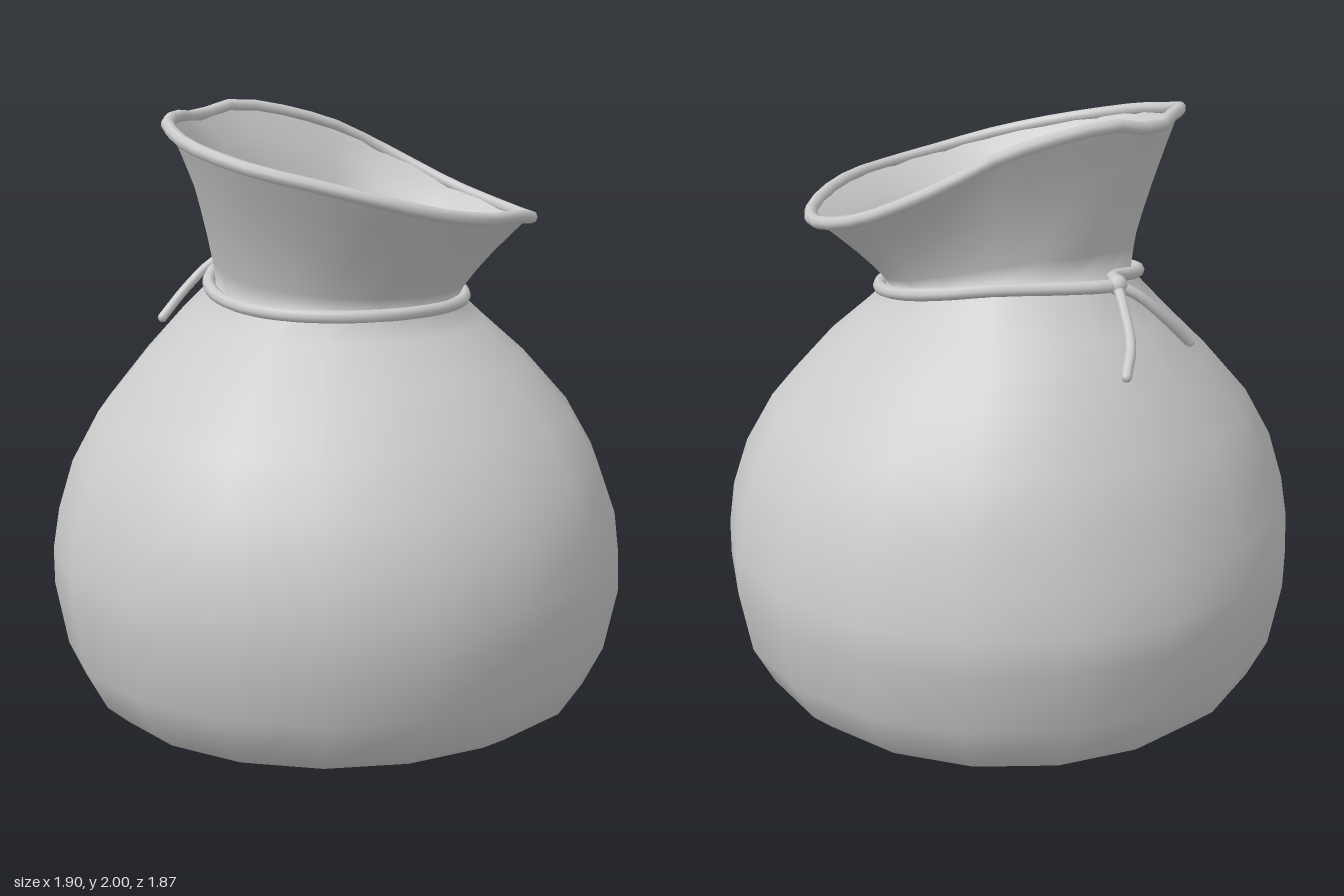
import * as THREE from 'three';

const N = 18;
const V = (x, y, z) => new THREE.Vector3(x, y, z);
const mat = () => new THREE.MeshStandardMaterial({ color: 0xcccccc, side: THREE.DoubleSide });

// Skin a list of closed rings, each holding N points
function loft(rings) {
  const geo = new THREE.BufferGeometry().setFromPoints(rings.flat());
  const index = [];
  for (let r = 0; r < rings.length - 1; r++) {
    for (let i = 0; i < N; i++) {
      const j = (i + 1) % N;
      const a = r * N + i, b = r * N + j, c = a + N, d = b + N;
      index.push(a, c, b, b, c, d);
    }
  }
  geo.setIndex(index);
  geo.computeVertexNormals();
  return geo;
}

// Ring with its own front and back depth; lift raises the back
function ring(y, rx, front, back, lift = 0) {
  return Array.from({ length: N }, (_, i) => {
    const a = (i / N) * Math.PI * 2, s = Math.sin(a);
    return V(rx * Math.cos(a), y + lift * ((1 - s) / 2) ** 2, s * (s > 0 ? front : back));
  });
}

// Slanted, uneven mouth outline, starting at +x and running past the front
const rim = [
  [0.63, 1.64, 0.03], [0.6, 1.63, 0.22], [0.5, 1.65, 0.38], [0.37, 1.67, 0.5], [0.2, 1.68, 0.6],
  [0, 1.71, 0.63], [-0.16, 1.75, 0.6], [-0.34, 1.8, 0.5], [-0.48, 1.84, 0.38], [-0.56, 1.88, 0.22],
  [-0.57, 1.91, 0.05], [-0.53, 1.95, -0.15], [-0.43, 1.96, -0.29], [-0.31, 1.95, -0.41],
  [-0.14, 1.98, -0.47], [0.2, 1.91, -0.45], [0.39, 1.82, -0.41], [0.56, 1.7, -0.21],
].map(p => V(...p));

// Ring between the neck and the mouth: t climbs, the flare opens with t
function flare(neck, t, scale = 1) {
  const s = t ** 1.25;
  return neck.map((p, i) => {
    const q = rim[i];
    return V(THREE.MathUtils.lerp(p.x, q.x, s) * scale,
      THREE.MathUtils.lerp(p.y, q.y, t),
      THREE.MathUtils.lerp(p.z, q.z, s) * scale);
  });
}

function tube(points, radius, segments, closed) {
  const curve = new THREE.CatmullRomCurve3(points, closed);
  return new THREE.TubeGeometry(curve, segments, radius, 8, closed);
}

export function createModel() {
  const group = new THREE.Group();
  const add = (name, geo) => {
    const mesh = new THREE.Mesh(geo, mat());
    mesh.name = name;
    group.add(mesh);
    return mesh;
  };

  // Nearly flat underside
  const foot = ring(0.03, 0.77, 0.74, 0.77);
  add('base', loft([ring(0, 0, 0, 0), foot]));

  // Bulging body, gathered neck, flared collar
  const neck = ring(1.38, 0.4, 0.4, 0.385, 0.11);
  add('sackBody', loft([
    foot,
    ring(0.09, 0.84, 0.84, 0.84),
    ring(0.22, 0.91, 0.9, 0.9),
    ring(0.43, 0.95, 0.95, 0.94),
    ring(0.55, 0.95, 0.94, 0.95),
    ring(0.69, 0.93, 0.93, 0.91),
    ring(0.85, 0.88, 0.86, 0.87),
    ring(1.01, 0.79, 0.76, 0.8),
    ring(1.18, 0.64, 0.6, 0.69),
    ring(1.3, 0.5, 0.46, 0.57, 0.04),
    neck,
    ...[0.15, 0.35, 0.55, 0.78, 1].map(t => flare(neck, t)),
  ]));

  // Inside of the collar, closed by a bowl below the neck
  add('innerLining', loft([
    ...[1, 0.78, 0.55, 0.35, 0.15, 0].map(t => flare(neck, t, t === 1 ? 1 : 0.94)),
    ring(1.3, 0.33, 0.33, 0.33, 0.06),
    ring(1.26, 0.2, 0.18, 0.24),
    ring(1.25, 0, 0, 0),
  ]));

  // Rolled lip
  add('rimLip', tube(rim, 0.021, 36, true));

  // Cord around the neck, dipping outward to the knot at the back
  const knot = V(-0.18, 1.48, -0.45);
  const loop = ring(1.375, 0.425, 0.405, 0.4, 0.115);
  loop.splice(13, 2, knot);
  add('neckCord', tube(loop, 0.021, 60, true));

  const knotMesh = add('knot', new THREE.SphereGeometry(0.032, 10, 8));
  knotMesh.position.copy(knot);

  // Two loose cord ends with rounded tips
  const tails = [
    [knot, V(-0.17, 1.43, -0.52), V(-0.15, 1.34, -0.62), V(-0.1, 1.27, -0.7)],
    [knot, V(-0.25, 1.44, -0.465), V(-0.34, 1.36, -0.47), V(-0.43, 1.27, -0.46)],
  ];
  for (const points of tails) {
    add('cordEnd', tube(points, 0.017, 10, false));
    add('cordTip', new THREE.SphereGeometry(0.017, 8, 6)).position.copy(points[3]);
  }
  return group;
}
